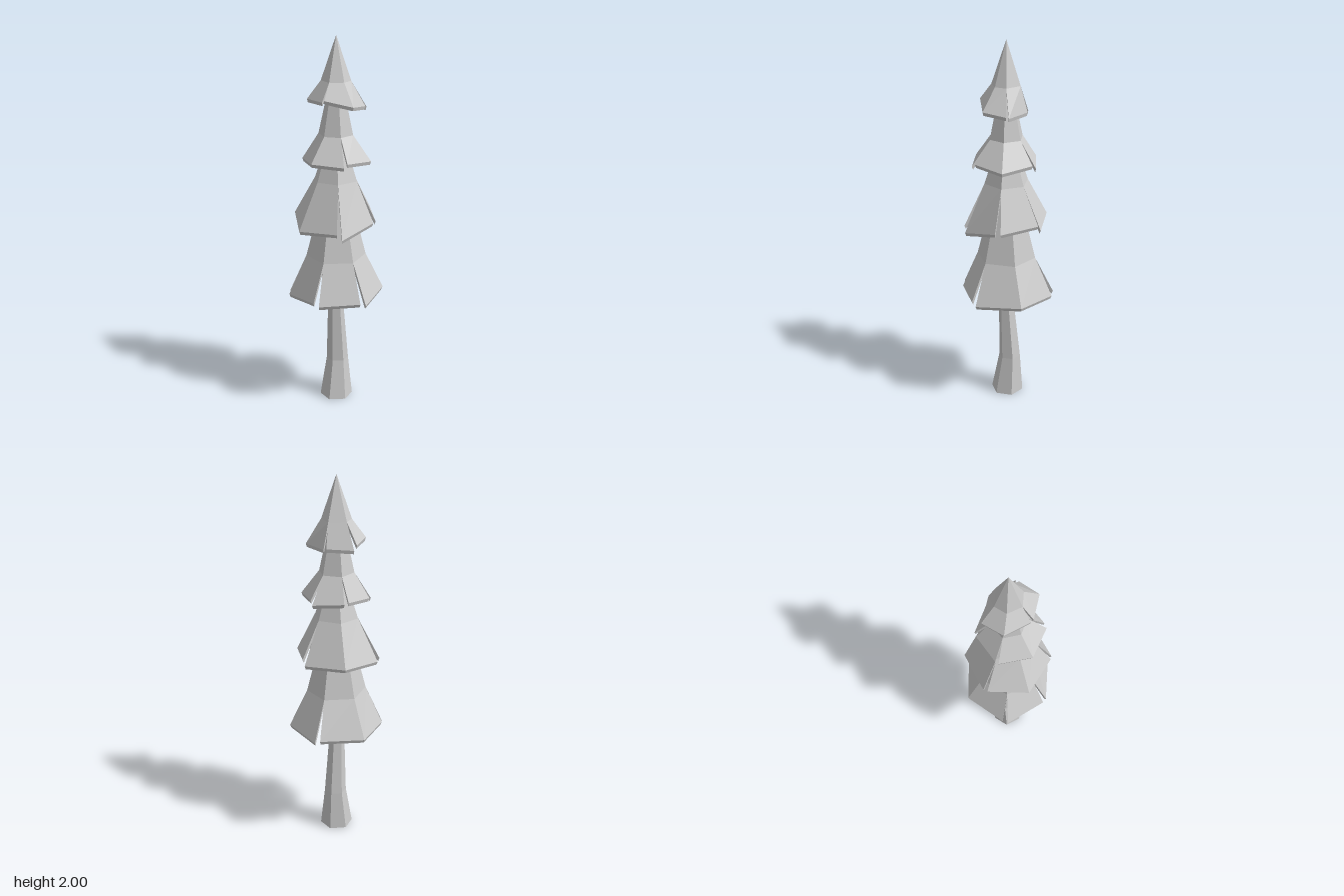
import * as THREE from 'three';

const material = new THREE.MeshStandardMaterial({ color: 0xcccccc, flatShading: true });
const HEM = 0.018; // thickness of a bough, measured downwards

function meshFromQuads(name, quads) {
  const positions = [];
  for (const [a, b, c, d] of quads) {
    for (const p of [a, b, c, a, c, d]) positions.push(p.x, p.y, p.z);
  }
  const geometry = new THREE.BufferGeometry();
  geometry.setAttribute('position', new THREE.Float32BufferAttribute(positions, 3));
  geometry.computeVertexNormals();
  const mesh = new THREE.Mesh(geometry, material);
  mesh.name = name;
  return mesh;
}

// One bough: a folded slab from the crown ring over the bend ring to the hem.
function bough(name, left, right) {
  const under = (p) => new THREE.Vector3(p.x * 0.97, p.y - HEM, p.z * 0.97);
  const l = left.map(under), r = right.map(under);
  const quads = [[l[0], r[0], right[0], left[0]]]; // hem
  for (let i = 0; i < 2; i++) {
    quads.push([left[i], right[i], right[i + 1], left[i + 1]]); // upper side
    quads.push([r[i], l[i], l[i + 1], r[i + 1]]); // underside
    quads.push([l[i], left[i], left[i + 1], l[i + 1]]); // cut sides
    quads.push([right[i], r[i], r[i + 1], right[i + 1]]);
  }
  return meshFromQuads(name, quads);
}

// A tier of six boughs. Each row holds the two hem corners of one bough (x, y, z, x, y, z).
function tier(name, [bendY, bendR], [topY, topR], rows) {
  const group = new THREE.Group();
  group.name = name;
  const starts = rows.map((v) => new THREE.Vector3(v[0], v[1], v[2]));
  const ends = rows.map((v) => new THREE.Vector3(v[3], v[4], v[5]));
  // the corner shared by bough i - 1 and bough i on a ring of given height and radius
  const ring = (i, y, radius) => {
    const p = starts[i % 6].clone().add(ends[(i + 5) % 6]).setY(0).normalize();
    return new THREE.Vector3(p.x * radius + 0.004, y, p.z * radius + 0.004);
  };
  rows.forEach((_, i) => {
    const side = (corner, k) => [corner, ring(k, bendY, bendR), ring(k, topY, topR)];
    group.add(bough(`${name}Bough${i + 1}`, side(starts[i], i), side(ends[i], i + 1)));
  });
  return group;
}

// Six-sided trunk that flares and leans at the foot.
function trunk() {
  const levels = [[0, 0.003, 0, 0.088], [0.22, 0.003, -0.014, 0.059], [0.62, 0.002, 0.009, 0.038], [1.3, 0.002, 0.005, 0.02]];
  const corner = ([y, x, z, r], i) => {
    const a = (i * Math.PI) / 3;
    return new THREE.Vector3(x + r * Math.sin(a), y, z + r * Math.cos(a));
  };
  const quads = [];
  for (let i = 0; i < 6; i++) {
    for (let k = 0; k < 3; k++) {
      quads.push([corner(levels[k], i), corner(levels[k], i + 1), corner(levels[k + 1], i + 1), corner(levels[k + 1], i)]);
    }
  }
  const foot = [0, 1, 2, 3, 4, 5].map((i) => corner(levels[0], i));
  quads.push([foot[3], foot[2], foot[1], foot[0]], [foot[5], foot[4], foot[3], foot[0]]);
  return meshFromQuads('trunk', quads);
}

export function createModel() {
  const tree = new THREE.Group();
  tree.name = 'firTree';
  tree.add(trunk());

  tree.add(tier('lowestTier', [0.84, 0.158], [1.15, 0.08], [
    [0.02, 0.63, 0.245, 0.21, 0.64, 0.14],
    [0.23, 0.625, 0.115, 0.22, 0.64, -0.13],
    [0.22, 0.64, -0.13, 0.02, 0.63, -0.25],
    [-0.01, 0.645, -0.25, -0.21, 0.635, -0.125],
    [-0.21, 0.635, -0.125, -0.22, 0.63, 0.11],
    [-0.21, 0.62, 0.14, -0.01, 0.645, 0.245],
  ]));

  tree.add(tier('lowerMiddleTier', [1.26, 0.118], [1.48, 0.045], [
    [-0.11, 1.015, 0.205, 0.105, 1.03, 0.205],
    [0.13, 1.0, 0.195, 0.22, 1.05, 0.01],
    [0.22, 1.05, -0.02, 0.11, 1.07, -0.19],
    [0.095, 1.04, -0.2, -0.125, 1.05, -0.185],
    [-0.125, 1.05, -0.185, -0.23, 1.04, 0],
    [-0.23, 1.05, 0.025, -0.11, 1.015, 0.205],
  ]));

  tree.add(tier('upperMiddleTier', [1.5, 0.092], [1.76, 0.035], [
    [-0.05, 1.375, 0.18, 0.12, 1.37, 0.155],
    [0.13, 1.385, 0.135, 0.19, 1.37, -0.02],
    [0.19, 1.37, -0.02, 0.08, 1.385, -0.15],
    [0.065, 1.365, -0.165, -0.095, 1.38, -0.13],
    [-0.11, 1.385, -0.11, -0.165, 1.37, 0.035],
    [-0.165, 1.365, 0.055, -0.05, 1.375, 0.18],
  ]));

  tree.add(tier('treetop', [1.775, 0.077], [2, 0], [
    [0.005, 1.695, 0.14, 0.14, 1.665, 0.09],
    [0.14, 1.665, 0.09, 0.15, 1.65, -0.03],
    [0.15, 1.645, -0.045, 0.025, 1.645, -0.11],
    [0.01, 1.65, -0.11, -0.12, 1.645, -0.065],
    [-0.13, 1.67, -0.055, -0.13, 1.68, 0.065],
    [-0.13, 1.68, 0.065, -0.01, 1.685, 0.135],
  ]));
  return tree;
}
